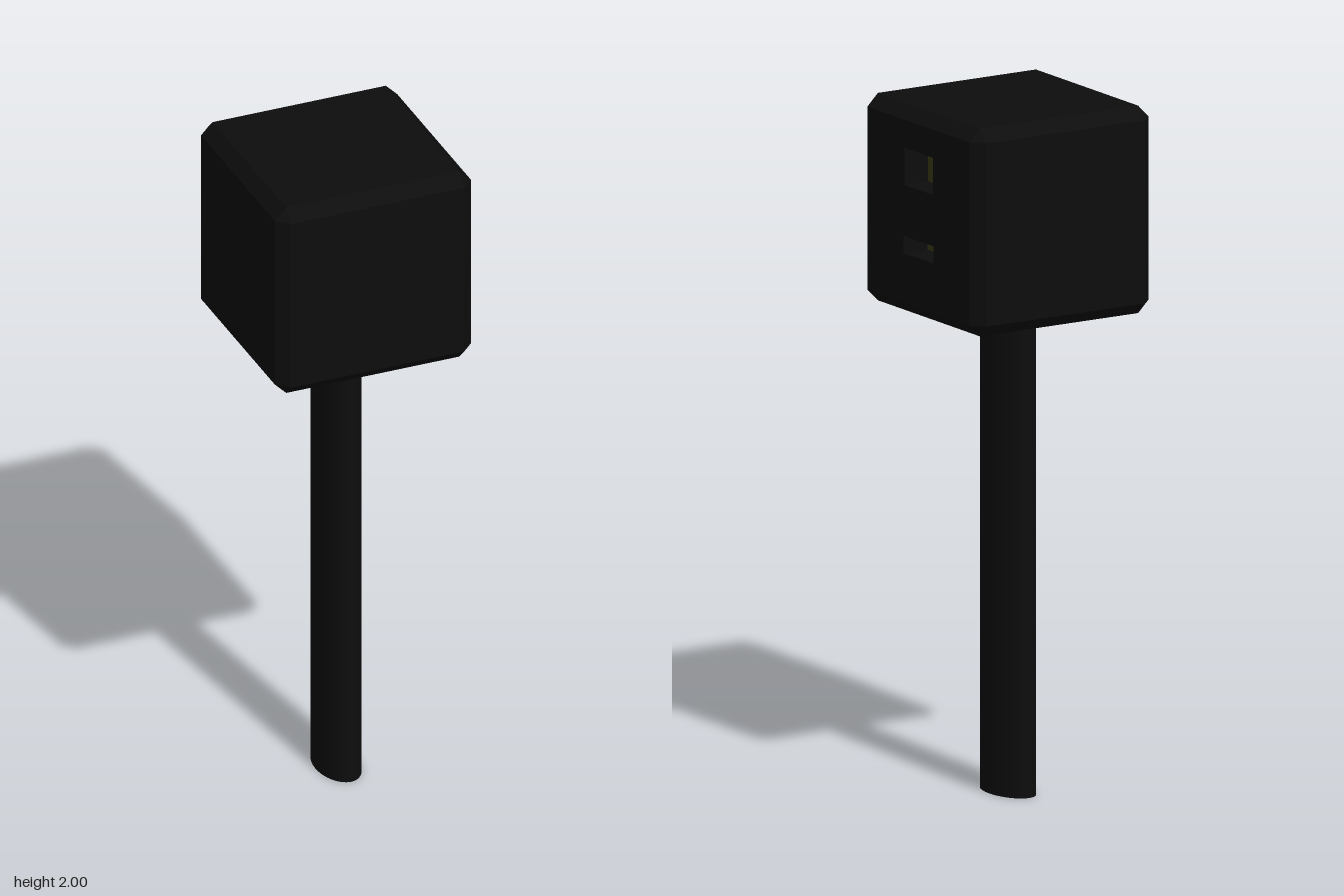
import * as THREE from 'three';
import { ConvexGeometry } from 'three/addons/geometries/ConvexGeometry.js';

const HALF = 0.3;      // half size of the head
const INNER = 0.265;   // half size of each flat face inside the chamfer
const HEAD_Y = 1.7;    // centre height of the head
const DEPTH = 0.08;    // depth of the recessed slots

// Recessed slots on the +x face: height relative to the head centre
const SLOTS = [
  { name: 'upperSlot', y: 0.13, width: 0.148, height: 0.107 },
  { name: 'lowerSlot', y: -0.097, width: 0.154, height: 0.05 },
];

const black = new THREE.MeshStandardMaterial({ color: 0x0d0d0d });
const blackFlat = new THREE.MeshStandardMaterial({ color: 0x0d0d0d, flatShading: true });
const blackInside = new THREE.MeshStandardMaterial({ color: 0x0d0d0d, side: THREE.BackSide });
const yellow = new THREE.MeshStandardMaterial({ color: 0x3f3d14 });

function part(name, geometry, material) {
  const mesh = new THREE.Mesh(geometry, material);
  mesh.name = name;
  return mesh;
}

// Chamfered cube with its +x face left open for the slotted plate
function chamferedShell() {
  const points = [];
  for (const sx of [-1, 1]) for (const sy of [-1, 1]) for (const sz of [-1, 1]) {
    for (let axis = 0; axis < 3; axis++) {
      const p = new THREE.Vector3(sx * INNER, sy * INNER, sz * INNER);
      p.setComponent(axis, Math.sign(p.getComponent(axis)) * HALF);
      points.push(p);
    }
  }
  const hull = new ConvexGeometry(points).getAttribute('position');
  const kept = [];
  for (let i = 0; i < hull.count; i += 3) {
    const corners = [i, i + 1, i + 2];
    if (corners.every((c) => hull.getX(c) > HALF - 0.001)) continue;
    for (const c of corners) kept.push(hull.getX(c), hull.getY(c), hull.getZ(c));
  }
  const geometry = new THREE.BufferGeometry();
  geometry.setAttribute('position', new THREE.Float32BufferAttribute(kept, 3));
  geometry.computeVertexNormals();
  return geometry;
}

function rectangle(PathType, w, h, y = 0) {
  return new PathType([[-1, -1], [1, -1], [1, 1], [-1, 1]].map(
    ([sx, sy]) => new THREE.Vector2(sx * w / 2, y + sy * h / 2)));
}

// Flat face with an opening for each slot
function slottedFace() {
  const shape = rectangle(THREE.Shape, 2 * INNER, 2 * INNER);
  for (const s of SLOTS) shape.holes.push(rectangle(THREE.Path, s.width, s.height, s.y));
  return new THREE.ShapeGeometry(shape).rotateY(Math.PI / 2).translate(HALF, 0, 0);
}

// Four inward-facing walls and a coloured floor
function slot({ name, y, width, height }) {
  const group = new THREE.Group();
  group.name = name;
  const walls = new THREE.BoxGeometry(DEPTH, height, width);
  walls.setIndex(Array.from(walls.index.array).slice(12)); // drop the two x ends
  walls.clearGroups();
  const floor = new THREE.PlaneGeometry(width, height).rotateY(Math.PI / 2);
  floor.translate(-DEPTH / 2, 0, 0);
  group.add(part(name + 'Walls', walls, blackInside), part(name + 'Floor', floor, yellow));
  group.position.set(HALF - DEPTH / 2, y, 0);
  return group;
}

export function createModel() {
  const model = new THREE.Group();
  model.name = 'boxOnPole';

  // Head
  const head = new THREE.Group();
  head.name = 'head';
  head.position.y = HEAD_Y;
  head.add(part('headShell', chamferedShell(), blackFlat));
  head.add(part('slottedFace', slottedFace(), black));
  for (const s of SLOTS) head.add(slot(s));
  model.add(head);

  // Oval pole
  const pole = new THREE.CylinderGeometry(1, 1, 1.4, 32);
  pole.scale(0.063, 1, 0.109).translate(0, 0.7, 0);
  model.add(part('pole', pole, black));

  return model;
}
